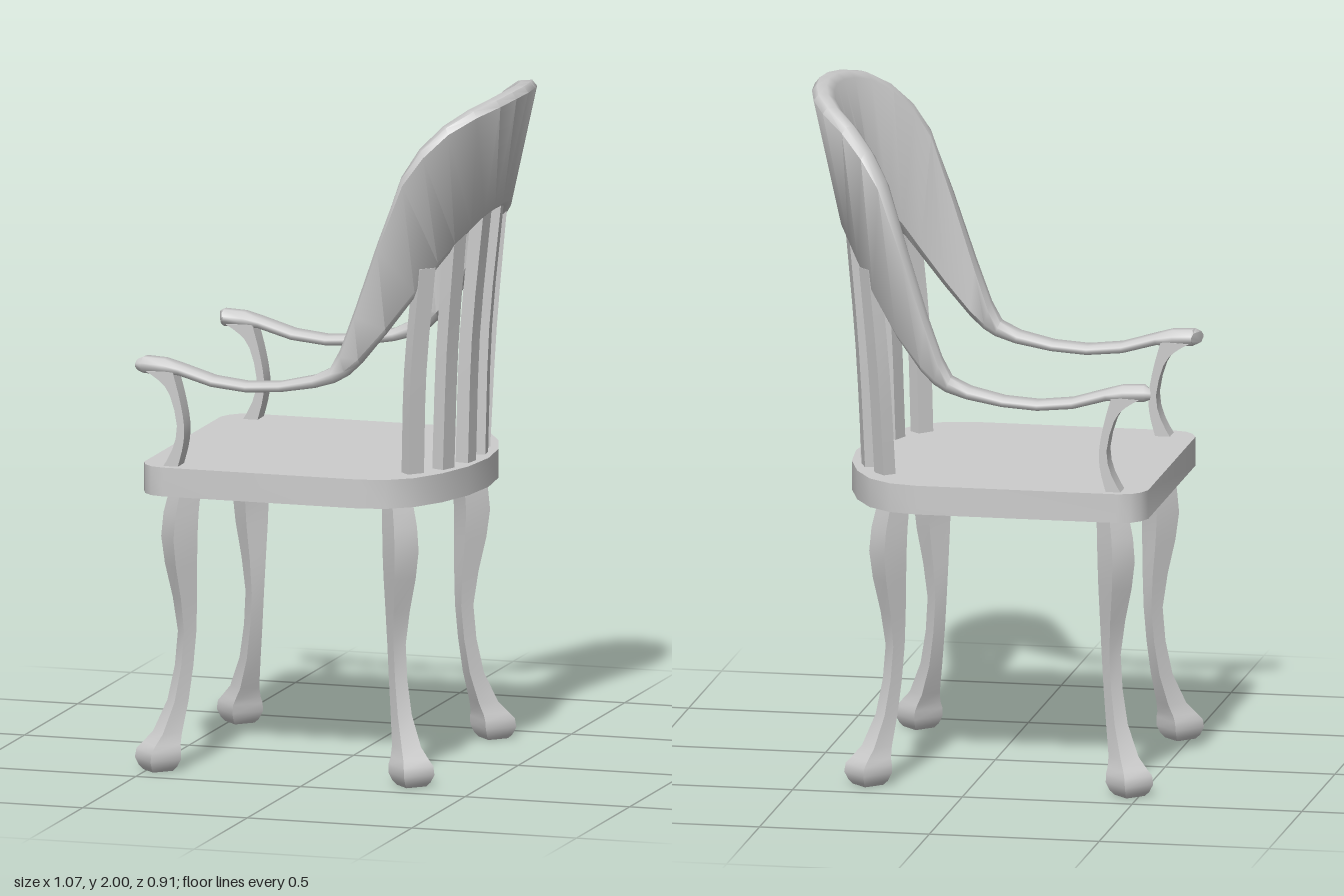
import * as THREE from 'three';
import { toCreasedNormals } from 'three/addons/utils/BufferGeometryUtils.js';

const material = new THREE.MeshStandardMaterial({ color: 0xcccccc });

// Skin a list of rings (each counterclockwise about the travel direction) and cap both ends
function loft(rings, crease) {
  const pos = [];
  const tri = (...pts) => pts.forEach(p => pos.push(p.x, p.y, p.z));
  const n = rings[0].length;
  for (let i = 0; i < rings.length - 1; i++) {
    for (let j = 0; j < n; j++) {
      const k = (j + 1) % n;
      const [a, b, c, d] = [rings[i][j], rings[i][k], rings[i + 1][k], rings[i + 1][j]];
      tri(a, b, c);
      tri(a, c, d);
    }
  }
  const first = rings[0], last = rings[rings.length - 1];
  for (let j = 1; j < n - 1; j++) {
    tri(first[0], first[j + 1], first[j]);
    tri(last[0], last[j], last[j + 1]);
  }
  const g = new THREE.BufferGeometry();
  g.setAttribute('position', new THREE.Float32BufferAttribute(pos, 3));
  return toCreasedNormals(g, crease);
}

function add(group, name, geometry) {
  const mesh = new THREE.Mesh(geometry, material);
  mesh.name = name;
  group.add(mesh);
  return mesh;
}

// Seat: straight sides, softened front corners, bowed back
function seatGeometry() {
  const back = [[0.15, 0.43], [0.23, 0.413], [0.3, 0.36], [0.355, 0.265], [0.395, 0.14], [0.41, 0]];
  const half = [[-0.52, 0.36], [-0.505, 0.395], [-0.48, 0.42], [-0.44, 0.43], ...back];
  const mirrored = half.slice(0, -1).reverse().map(([x, z]) => [x, -z]);
  const shape = new THREE.Shape([...half, ...mirrored].map(([x, z]) => new THREE.Vector2(x, z)));
  const g = new THREE.ExtrudeGeometry(shape, { depth: 0.085, bevelEnabled: false });
  g.rotateX(Math.PI / 2).translate(0, 0.9, 0);
  return toCreasedNormals(g, 0.6);
}

// Arms and back panel: one sweep whose section grows tall around the back
function armsAndBackGeometry() {
  // outer top x, y, z, then outer bottom x, y, z
  const half = [
    [-0.535, 1.207, 0.4, -0.535, 1.175, 0.4],
    [-0.515, 1.215, 0.408, -0.515, 1.168, 0.408],
    [-0.45, 1.212, 0.408, -0.455, 1.165, 0.408],
    [-0.4, 1.197, 0.408, -0.405, 1.168, 0.408],
    [-0.3, 1.167, 0.408, -0.305, 1.14, 0.408],
    [-0.2, 1.156, 0.408, -0.2, 1.13, 0.408],
    [-0.1, 1.163, 0.408, -0.095, 1.137, 0.408],
    [0, 1.187, 0.408, 0.01, 1.155, 0.408],
    [0.055, 1.215, 0.409, 0.07, 1.173, 0.409],
    [0.085, 1.27, 0.409, 0.105, 1.193, 0.408],
    [0.13, 1.39, 0.409, 0.145, 1.23, 0.403],
    [0.2, 1.59, 0.404, 0.22, 1.32, 0.38],
    [0.27, 1.78, 0.386, 0.295, 1.425, 0.335],
    [0.325, 1.86, 0.363, 0.35, 1.505, 0.285],
    [0.39, 1.925, 0.322, 0.385, 1.555, 0.235],
    [0.46, 1.968, 0.262, 0.415, 1.592, 0.185],
    [0.505, 1.987, 0.175, 0.435, 1.62, 0.12],
    [0.527, 1.997, 0.088, 0.446, 1.632, 0.06],
    [0.535, 2, 0, 0.45, 1.636, 0],
  ];
  const other = half.slice(0, -1).reverse().map(([a, b, c, d, e, f]) => [a, b, -c, d, e, -f]);
  const path = [...half, ...other];
  const w = 0.065;
  const rings = path.map(([ax, ay, az, bx, by, bz], i) => {
    const p = path[Math.max(i - 1, 0)], q = path[Math.min(i + 1, path.length - 1)];
    const inward = new THREE.Vector3(q[2] - p[2], 0, p[0] - q[0]).normalize();
    const bottom = new THREE.Vector3(bx, by, bz);
    const up = new THREE.Vector3(ax, ay, az).sub(bottom);
    const L = up.length();
    up.normalize();
    const r = Math.min(0.018, L * 0.35);
    return [[r, 0], [w - r, 0], [w, r], [w, L - r], [w - r, L], [r, L], [0, L - r], [0, r]]
      .map(([u, v]) => bottom.clone().addScaledVector(inward, u).addScaledVector(up, v));
  });
  return loft(rings, 0.9);
}

// Back slat: rectangular section following a gentle bend, turned to face outward
function slatGeometry(points, angle) {
  const curve = new THREE.CatmullRomCurve3(points.map(p => new THREE.Vector3(...p)));
  const out = new THREE.Vector3(Math.cos(angle), 0, Math.sin(angle));
  const side = new THREE.Vector3(-Math.sin(angle), 0, Math.cos(angle));
  const rings = curve.getPoints(6).map(c =>
    [[-1, -1], [-1, 1], [1, 1], [1, -1]].map(([o, s]) =>
      c.clone().addScaledVector(out, o * 0.02).addScaledVector(side, s * 0.026)));
  return loft(rings, 0.5);
}

// Leg: square section set diagonally, with a swelling knee and a club foot
function legGeometry(footX, sx, sz) {
  // height, shift toward the chair centre, half diagonal
  const profile = [
    [0, 0, 0.045], [0.012, 0, 0.058], [0.035, 0, 0.07], [0.06, 0.002, 0.068], [0.078, 0.008, 0.058],
    [0.11, 0.022, 0.044], [0.2, 0.046, 0.032], [0.3, 0.06, 0.028], [0.4, 0.067, 0.028],
    [0.5, 0.062, 0.037], [0.6, 0.053, 0.049], [0.68, 0.049, 0.055], [0.75, 0.053, 0.053], [0.82, 0.063, 0.047],
  ];
  const rings = profile.map(([y, shift, e]) => [0, 1, 2, 3].map(k => {
    const t = k * Math.PI / 2;
    return new THREE.Vector3(footX - sx * shift + e * Math.sin(t), y, sz * (0.385 - shift) + e * Math.cos(t));
  }));
  return loft(rings, 0.6);
}

// Arm support: curved bracket cut from a flat board
function armSupportGeometry() {
  const front = [[-0.45, 0.895], [-0.42, 0.95], [-0.406, 1.02], [-0.428, 1.11], [-0.46, 1.15], [-0.5, 1.175]];
  const rear = [[-0.42, 1.18], [-0.398, 1.1], [-0.384, 1.02], [-0.388, 0.96], [-0.405, 0.895]];
  const smooth = pts => new THREE.SplineCurve(pts.map(p => new THREE.Vector2(...p))).getPoints(10);
  const shape = new THREE.Shape([...smooth(front), ...smooth(rear)]);
  const g = new THREE.ExtrudeGeometry(shape, { depth: 0.06, bevelEnabled: false });
  return toCreasedNormals(g.translate(0, 0, -0.03), 0.6);
}

export function createModel() {
  const chair = new THREE.Group();
  chair.name = 'armchair';
  add(chair, 'seat', seatGeometry());
  add(chair, 'armsAndBackPanel', armsAndBackGeometry());

  // bottom, middle and top of each slat on one side
  const slats = [
    { angle: 0.15, points: [[0.362, 0.89, 0.066], [0.374, 1.27, 0.066], [0.412, 1.66, 0.068]] },
    { angle: 0.38, points: [[0.332, 0.89, 0.185], [0.348, 1.25, 0.198], [0.378, 1.62, 0.207]] },
    { angle: 0.75, points: [[0.27, 0.89, 0.28], [0.284, 1.2, 0.3], [0.312, 1.51, 0.3]] },
  ];
  for (const s of [1, -1]) {
    const side = s > 0 ? 'Left' : 'Right';
    slats.forEach(({ points, angle }, i) =>
      add(chair, `backSlat${side}${i + 1}`, slatGeometry(points.map(([x, y, z]) => [x, y, z * s]), angle * s)));
    add(chair, `armSupport${side}`, armSupportGeometry()).position.z = 0.375 * s;
    add(chair, `frontLeg${side}`, legGeometry(-0.47, -1, s));
    add(chair, `backLeg${side}`, legGeometry(0.3, 1, s));
  }
  return chair;
}
